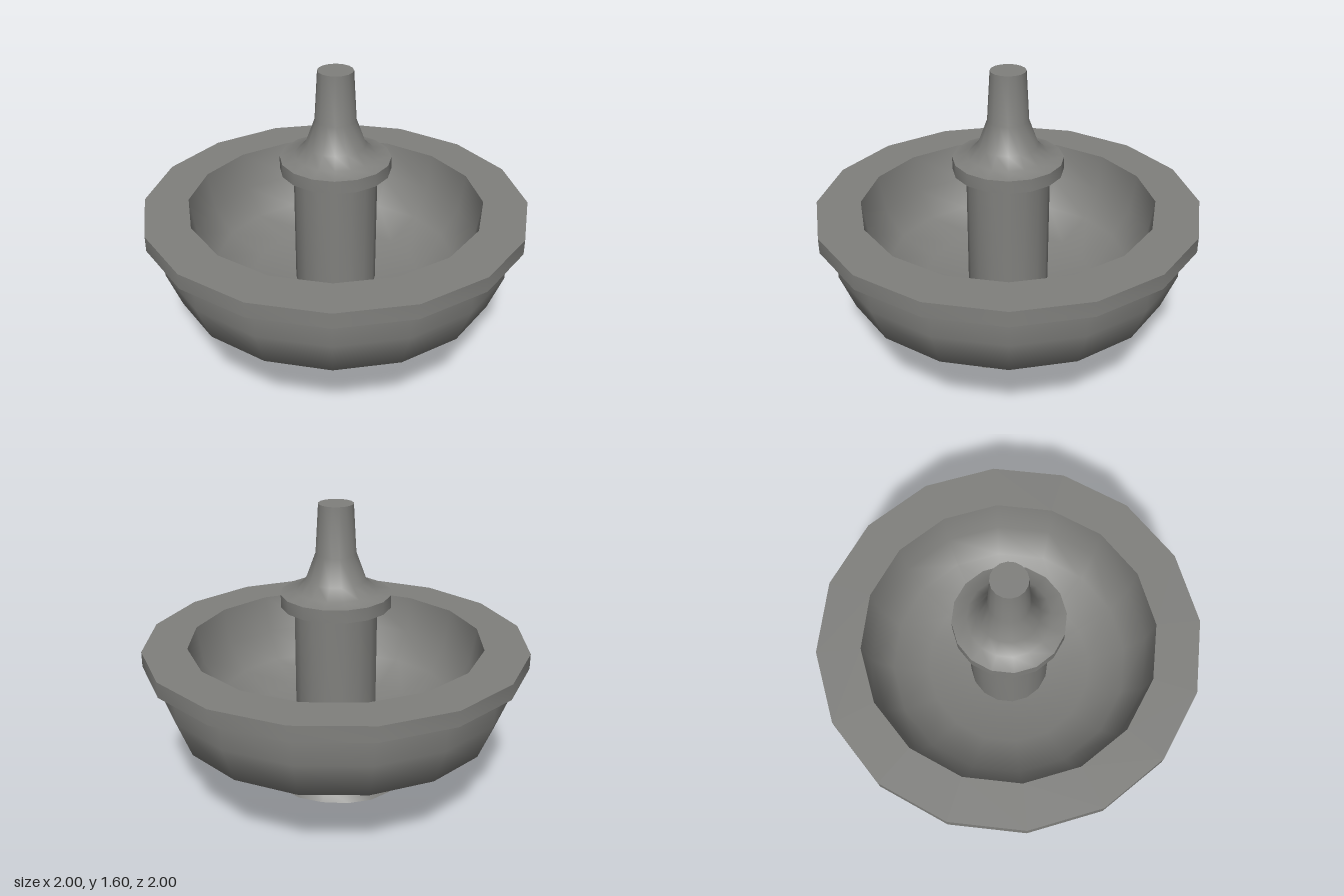
import * as THREE from 'three';
import { toCreasedNormals } from 'three/addons/utils/BufferGeometryUtils.js';

const SIDES = 16;

// Lathe geometry from [radius, height] pairs, listed so the outside faces out
function turned(profile) {
  return new THREE.LatheGeometry(profile.map(([r, y]) => new THREE.Vector2(r, y)), SIDES);
}

export function createModel() {
  const model = new THREE.Group();
  model.name = 'fountain';
  const stone = new THREE.MeshStandardMaterial({ color: 0x80807d });
  stone.name = 'grey stone';

  function add(name, geometry) {
    const mesh = new THREE.Mesh(toCreasedNormals(geometry, 0.76), stone);
    mesh.name = name;
    model.add(mesh);
  }

  // Basin: underside, outer wall, overhanging rim, then down the hollow inside
  add('basin', turned([
    [0.2, 0.29], [0.34, 0.303], [0.66, 0.345], [0.845, 0.445], [0.92, 0.64], [0.92, 0.77],
    [1, 0.8], [1, 0.88], [0.77, 0.88],
    [0.74, 0.68], [0.64, 0.53], [0.45, 0.44], [0.18, 0.41],
  ]));

  // Column with collar and tapering spout
  add('column', turned([
    [0.215, 0.38], [0.215, 1.06], [0.285, 1.073], [0.285, 1.14], [0.21, 1.155],
    [0.155, 1.21], [0.105, 1.345], [0.09, 1.6], [0, 1.6],
  ]));

  // Foot with a waist and a flared, uneven lower edge
  const foot = turned([
    [0, 0.005], [0.347, 0.06], [0.3, 0.155], [0.34, 0.225], [0.34, 0.31],
  ]);
  const edgeHeights = [
    0.06, 0.04, 0.04, 0.04, 0.04, 0.07, 0.085, 0.09,
    0.095, 0.09, 0.08, 0.07, 0.065, 0.055, 0.045, 0.05,
  ];
  const position = foot.attributes.position;
  for (let i = 0; i <= SIDES; i++) {
    position.setXYZ(i * 5, -0.07, 0.003, 0.07);
    position.setY(i * 5 + 1, edgeHeights[i % SIDES]);
  }
  add('foot', foot);

  return model;
}
